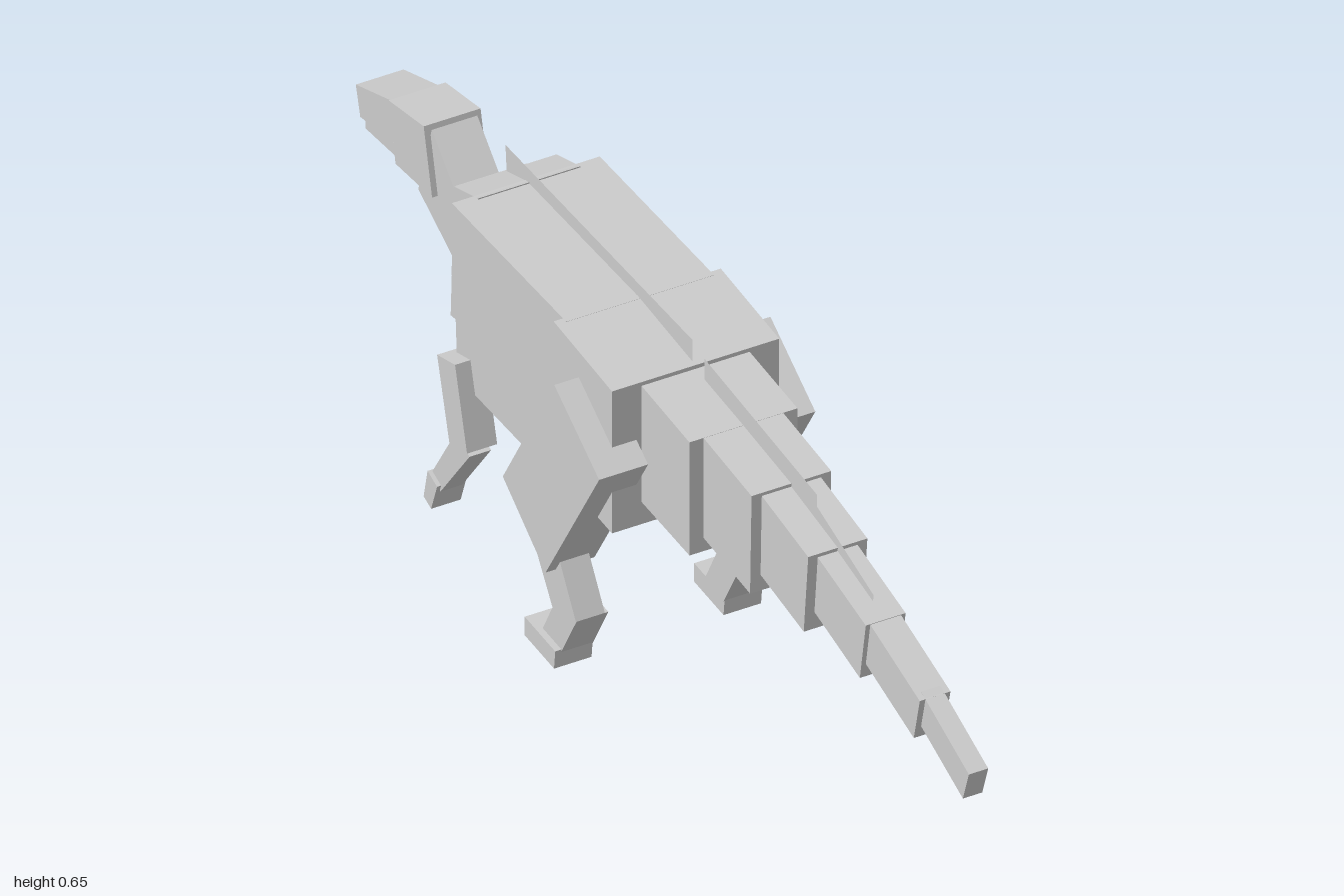
import * as THREE from 'three';

const grey = new THREE.MeshStandardMaterial({ color: 0xcccccc, flatShading: true });
const thin = new THREE.MeshStandardMaterial({ color: 0xcccccc, flatShading: true, side: THREE.DoubleSide });

const outline = (points) => new THREE.Shape(points.map(([z, y]) => new THREE.Vector2(z, y)));

// Slab with a side profile of [z, y] corners, spanning x0 to x1
function slab(name, x0, x1, points) {
  const geometry = new THREE.ExtrudeGeometry(outline(points), { depth: x1 - x0, bevelEnabled: false });
  geometry.rotateY(-Math.PI / 2).translate(x1, 0, 0);
  const mesh = new THREE.Mesh(geometry, grey);
  mesh.name = name;
  return mesh;
}

// Paper-thin plate on the centre line
function plate(name, points) {
  const geometry = new THREE.ShapeGeometry(outline(points)).rotateY(-Math.PI / 2);
  const mesh = new THREE.Mesh(geometry, thin);
  mesh.name = name;
  return mesh;
}

export function createModel() {
  const model = new THREE.Group();
  model.name = 'longTailedReptile';

  // Blocks on the centre line: name, half width, side profile
  const blocks = [
    // Tail, from the tip to the hips
    ['tailTip', 0.017, [[1, 0.45], [0.84, 0.505], [0.82, 0.445], [0.98, 0.39]]],
    ['tail5', 0.027, [[0.855, 0.5], [0.685, 0.54], [0.665, 0.455], [0.835, 0.415]]],
    ['tail4', 0.035, [[0.69, 0.54], [0.525, 0.567], [0.505, 0.455], [0.67, 0.425]]],
    ['tail3', 0.052, [[0.53, 0.573], [0.365, 0.59], [0.35, 0.435], [0.515, 0.418]]],
    ['tail2', 0.07, [[0.375, 0.595], [0.205, 0.602], [0.2, 0.408], [0.37, 0.402]]],
    ['tail1', 0.095, [[0.215, 0.602], [0.045, 0.606], [0.045, 0.38], [0.215, 0.382]]],
    // Trunk
    ['hips', 0.147, [[0.055, 0.613], [-0.14, 0.62], [-0.15, 0.337], [0.055, 0.337]]],
    ['body', 0.13, [[-0.13, 0.62], [-0.512, 0.597], [-0.493, 0.272], [-0.11, 0.292]]],
    // Neck
    ['neckBase', 0.09, [[-0.5, 0.583], [-0.58, 0.57], [-0.592, 0.312], [-0.52, 0.325]].map(([z, y], i) =>
      i === 0 ? [z, 0.6] : [z, y])],
    ['neck1', 0.062, [[-0.57, 0.545], [-0.628, 0.53], [-0.643, 0.347], [-0.585, 0.34]]],
    ['neck2', 0.045, [[-0.62, 0.51], [-0.67, 0.48], [-0.672, 0.35], [-0.63, 0.35]]],
    ['throat', 0.04, [[-0.67, 0.48], [-0.75, 0.55], [-0.795, 0.405], [-0.67, 0.345]]],
    // Head
    ['skull', 0.05, [[-0.758, 0.555], [-0.875, 0.528], [-0.852, 0.42], [-0.73, 0.435]]],
    ['snout', 0.042, [[-0.87, 0.525], [-1, 0.473], [-0.985, 0.42], [-0.855, 0.447]]],
    ['lowerJaw', 0.038, [[-0.735, 0.438], [-0.86, 0.44], [-0.975, 0.42], [-0.975, 0.403], [-0.855, 0.418]]],
  ];
  for (const [name, half, points] of blocks) model.add(slab(name, -half, half, points));

  // Thin ridge plates along the spine
  model.add(
    plate('backRidge', [[0.045, 0.655], [-0.58, 0.62], [-0.575, 0.56], [0.045, 0.59]]),
    plate('hipRidge', [[0.46, 0.63], [0.085, 0.645], [0.085, 0.59], [0.46, 0.57]]),
    plate('tailRidge', [[0.65, 0.56], [0.46, 0.607], [0.45, 0.55], [0.64, 0.51]]),
  );

  // Limb parts: name, inner x, outer x, side profile; mirrored to both sides
  const limbs = [
    ['Thigh', 0.104, 0.19, [[0.094, 0.482], [-0.056, 0.567], [-0.228, 0.275], [-0.085, 0.183]]],
    ['Shin', 0.121, 0.172, [[-0.09, 0.235], [-0.185, 0.225], [-0.09, 0.093], [-0.018, 0.125]]],
    ['Ankle', 0.115, 0.171, [[-0.018, 0.125], [-0.085, 0.125], [-0.132, 0.035], [-0.07, 0.03]]],
    ['HindFoot', 0.116, 0.182, [[-0.068, 0.038], [-0.17, 0.038], [-0.17, 0.002], [-0.072, 0.002]]],
    ['UpperArm', 0.104, 0.157, [[-0.45, 0.333], [-0.51, 0.313], [-0.468, 0.165], [-0.41, 0.187]]],
    ['Forearm', 0.112, 0.15, [[-0.415, 0.175], [-0.463, 0.188], [-0.545, 0.055], [-0.512, 0.043]]],
    ['Hand', 0.105, 0.157, [[-0.51, 0.056], [-0.542, 0.066], [-0.555, 0.008], [-0.53, 0]]],
  ];
  for (const [name, inner, outer, points] of limbs) {
    model.add(slab('left' + name, inner, outer, points), slab('right' + name, -outer, -inner, points));
  }
  return model;
}
